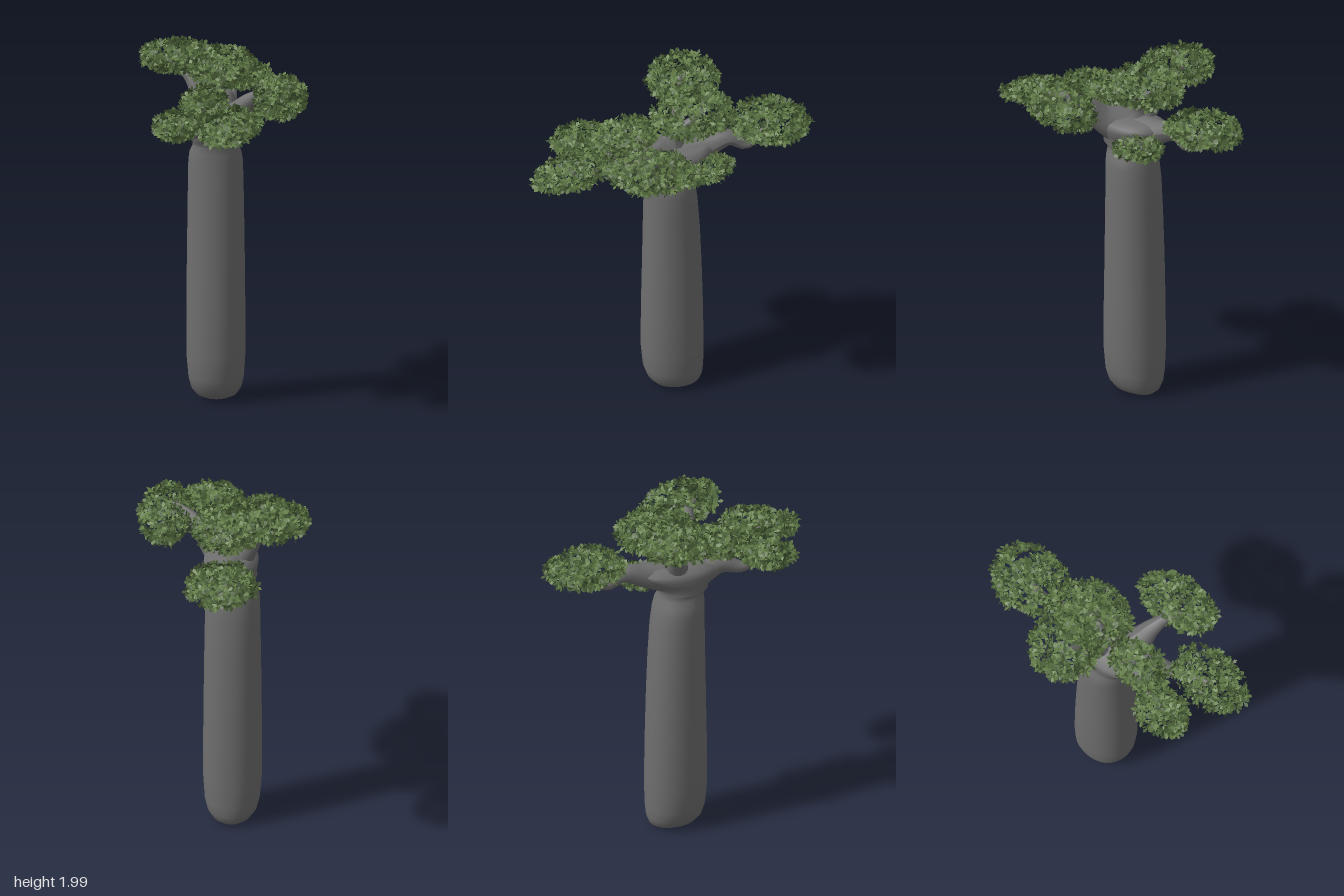
import * as THREE from 'three';

const bark = new THREE.MeshStandardMaterial({ color: 0x6e6e6e });
bark.name = 'grey bark';
const leafLight = new THREE.MeshStandardMaterial({ color: 0x647e48, side: THREE.DoubleSide });
leafLight.name = 'leaf green';
const leafDark = new THREE.MeshStandardMaterial({ color: 0x485e36, side: THREE.DoubleSide });
leafDark.name = 'deep leaf green';

// Small seeded random number source
let seed = 7;
const rand = () => {
  seed = (seed * 16807) % 2147483647;
  return seed / 2147483647;
};
const spread = (a) => (rand() * 2 - 1) * a;

// Trunk cross-sections: y, left x, right x, back z, front z
const trunkRows = [
  [0.0, -0.055, -0.055, -0.08, -0.08], [0.002, -0.12, 0.015, -0.16, 0.03],
  [0.02, -0.16, 0.055, -0.182, 0.08], [0.06, -0.19, 0.082, -0.195, 0.113],
  [0.12, -0.205, 0.097, -0.2, 0.132], [0.25, -0.216, 0.106, -0.202, 0.143],
  [0.5, -0.216, 0.106, -0.199, 0.141], [0.8, -0.213, 0.103, -0.191, 0.135],
  [1.05, -0.209, 0.1, -0.181, 0.131], [1.25, -0.206, 0.097, -0.168, 0.127],
  [1.34, -0.203, 0.095, -0.155, 0.127], [1.39, -0.195, 0.087, -0.143, 0.127],
  [1.425, -0.178, 0.07, -0.13, 0.125], [1.45, -0.178, 0.07, -0.128, 0.135],
  [1.465, -0.187, 0.08, -0.13, 0.152], [1.485, -0.178, 0.072, -0.135, 0.157],
  [1.52, -0.19, 0.09, -0.175, 0.185], [1.56, -0.195, 0.105, -0.23, 0.22],
  [1.595, -0.185, 0.1, -0.255, 0.225], [1.62, -0.14, 0.06, -0.22, 0.16],
  [1.63, -0.05, -0.05, -0.03, -0.03],
];

// Lofts rounded sections into one smooth skin
function loft(rows, sides = 40) {
  const pos = [], index = [], power = 2.15;
  for (const [y, x0, x1, z0, z1] of rows) {
    for (let i = 0; i < sides; i++) {
      const a = (i / sides) * Math.PI * 2;
      const c = Math.cos(a), s = Math.sin(a);
      const k = Math.pow(Math.abs(c) ** power + Math.abs(s) ** power, -1 / power);
      pos.push((x0 + x1) / 2 + (c * k * (x1 - x0)) / 2, y, (z0 + z1) / 2 + (s * k * (z1 - z0)) / 2);
    }
  }
  for (let r = 0; r < rows.length - 1; r++) {
    for (let i = 0; i < sides; i++) {
      const a = r * sides + i, b = r * sides + ((i + 1) % sides);
      index.push(a, a + sides, b, b, a + sides, b + sides);
    }
  }
  const geo = new THREE.BufferGeometry();
  geo.setAttribute('position', new THREE.Float32BufferAttribute(pos, 3));
  geo.setIndex(index);
  geo.computeVertexNormals();
  return geo;
}

// Tube whose radius shrinks from r0 to r1
function taperedBranch(points, r0, r1) {
  const curve = new THREE.CatmullRomCurve3(points.map((p) => new THREE.Vector3(...p)));
  const n = 24, sides = 12;
  const geo = new THREE.TubeGeometry(curve, n, 1, sides, false);
  const p = geo.attributes.position, v = new THREE.Vector3();
  for (let i = 0; i <= n; i++) {
    const c = curve.getPointAt(i / n);
    const r = r1 + (r0 - r1) * Math.pow(1 - i / n, 1.5);
    for (let j = 0; j <= sides; j++) {
      const k = i * (sides + 1) + j;
      v.fromBufferAttribute(p, k).sub(c).multiplyScalar(r).add(c);
      p.setXYZ(k, v.x, v.y, v.z);
    }
  }
  geo.computeVertexNormals();
  return geo;
}

const branches = {
  rearBranch: [[[-0.05, 1.54, -0.06], [-0.05, 1.58, -0.22], [-0.05, 1.615, -0.35], [-0.04, 1.565, -0.44], [-0.04, 1.61, -0.51], [-0.04, 1.68, -0.58]], 0.1, 0.018],
  frontRightBranch: [[[-0.07, 1.53, 0.08], [-0.1, 1.575, 0.22], [-0.14, 1.55, 0.33], [-0.16, 1.585, 0.41], [-0.18, 1.62, 0.5]], 0.09, 0.012],
  frontLeftBranch: [[[-0.03, 1.54, 0.1], [0.02, 1.585, 0.25], [0.05, 1.58, 0.36], [0.08, 1.6, 0.48], [0.1, 1.63, 0.58]], 0.08, 0.012],
  leftBranch: [[[-0.03, 1.54, 0.03], [0.07, 1.61, 0.1], [0.15, 1.7, 0.14], [0.24, 1.76, 0.19], [0.31, 1.77, 0.28]], 0.115, 0.015],
  rightBranch: [[[-0.08, 1.55, -0.03], [-0.15, 1.67, -0.07], [-0.22, 1.78, -0.1], [-0.33, 1.86, -0.13]], 0.08, 0.015],
  topBranch: [[[-0.05, 1.57, -0.05], [-0.05, 1.68, -0.04], [-0.04, 1.76, -0.12], [-0.04, 1.82, -0.2]], 0.07, 0.015],
  forwardBranch: [[[-0.06, 1.56, 0.05], [-0.07, 1.63, 0.14], [-0.09, 1.69, 0.24]], 0.06, 0.012],
  lowBranch: [[[-0.03, 1.5, -0.08], [0.05, 1.49, -0.15], [0.07, 1.52, -0.22]], 0.05, 0.012],
};

// Foliage pads: centre, radii, rise of y along z, number of sprigs
const pads = {
  rearFoliage: [[-0.04, 1.7, -0.57], [0.19, 0.065, 0.22], 0.03, 260],
  rightFoliage: [[-0.285, 1.885, -0.14], [0.2, 0.075, 0.195], 0, 260],
  topFoliage: [[-0.03, 1.83, -0.14], [0.185, 0.1, 0.22], 0, 270],
  forwardFoliage: [[-0.08, 1.7, 0.22], [0.12, 0.075, 0.17], -0.1, 170],
  leftFoliage: [[0.335, 1.74, 0.17], [0.135, 0.115, 0.235], 0.1, 240],
  frontLeftFoliage: [[0.11, 1.65, 0.56], [0.15, 0.045, 0.225], -0.2, 210],
  frontRightFoliage: [[-0.19, 1.625, 0.46], [0.125, 0.06, 0.155], -0.1, 170],
  lowFoliage: [[0.07, 1.51, -0.18], [0.09, 0.06, 0.16], -0.15, 125],
};

// Rosettes of kite-shaped leaves scattered over a hollow sheared ellipsoid
function foliage([cx, cy, cz], [rx, ry, rz], slope, count) {
  const light = [], dark = [];
  const up = new THREE.Vector3(0, 0, 1), q = new THREE.Quaternion();
  for (let i = 0; i < count; i++) {
    const h = 1 - (2 * (i + 0.5)) / count, a = i * 2.39996 + spread(0.3);
    const s = Math.sqrt(1 - h * h), k = 1 - 0.3 * rand() * rand();
    const dir = new THREE.Vector3(s * Math.cos(a), h, s * Math.sin(a));
    const centre = new THREE.Vector3(cx + dir.x * rx * k, cy + dir.y * ry * k + slope * dir.z * rz, cz + dir.z * rz * k);
    dir.add(new THREE.Vector3(spread(0.8), spread(0.8) + 0.25, spread(0.8))).normalize();
    q.setFromUnitVectors(up, dir);
    const turn = rand() * 6.28;
    for (let j = 0; j < 5; j++) {
      const t = turn + (j / 5) * Math.PI * 2, len = 0.026 + rand() * 0.014, w = 0.011;
      const c = Math.cos(t), n = Math.sin(t), lift = 0.004 + rand() * 0.018;
      const corner = (u, v, z) => new THREE.Vector3(c * u - n * v, n * u + c * v, z).applyQuaternion(q).add(centre).toArray();
      const base = corner(0, 0, 0), tip = corner(len, 0, lift);
      const l = corner(len * 0.65, w, lift * 0.65), r = corner(len * 0.65, -w, lift * 0.65);
      (rand() < 0.55 ? light : dark).push(...base, ...r, ...tip, ...base, ...tip, ...l);
    }
  }
  return [light, dark].map((list) => {
    const geo = new THREE.BufferGeometry();
    geo.setAttribute('position', new THREE.Float32BufferAttribute(list, 3));
    geo.computeVertexNormals();
    return geo;
  });
}

export function createModel() {
  seed = 7;
  const tree = new THREE.Group();
  tree.name = 'tree';
  const add = (parent, name, geo, mat) => {
    const mesh = new THREE.Mesh(geo, mat);
    mesh.name = name;
    parent.add(mesh);
  };

  add(tree, 'trunk', loft(trunkRows), bark);
  for (const [name, spec] of Object.entries(branches)) add(tree, name, taperedBranch(...spec), bark);

  for (const [name, spec] of Object.entries(pads)) {
    const pad = new THREE.Group();
    pad.name = name;
    const [light, dark] = foliage(...spec);
    add(pad, 'lightLeaves', light, leafLight);
    add(pad, 'darkLeaves', dark, leafDark);
    tree.add(pad);
  }
  return tree;
}
